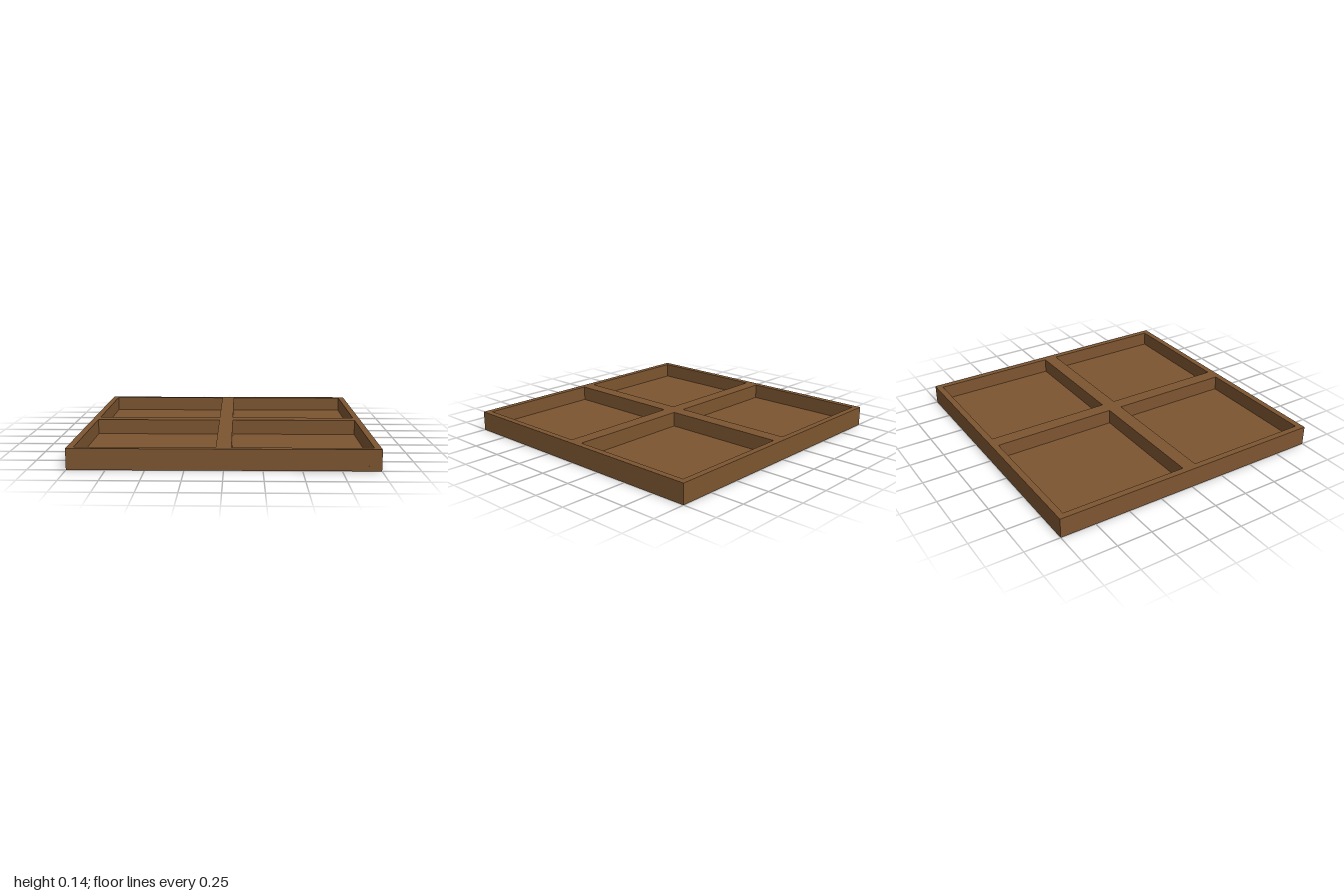
import * as THREE from 'three';

const SIZE = 2, HEIGHT = 0.14, FLOOR = 0.033;
const INNER = 0.05, OUTER = 0.955; // pocket limits measured from the centre

// Rectangle outline between two corners
function trace(path, x0, y0, x1, y1) {
  path.moveTo(x0, y0);
  path.lineTo(x1, y0);
  path.lineTo(x1, y1);
  path.lineTo(x0, y1);
  path.closePath();
  return path;
}

export function createModel() {
  const group = new THREE.Group();
  group.name = 'dividedTray';
  const wood = new THREE.MeshStandardMaterial({ color: 0x7d5530 });

  // Solid bottom board
  const base = new THREE.Mesh(new THREE.BoxGeometry(SIZE, FLOOR, SIZE), wood);
  base.name = 'bottomBoard';
  base.position.y = FLOOR / 2;
  group.add(base);

  // Rim and cross divider: a square with four pockets cut through
  const outline = trace(new THREE.Shape(), -SIZE / 2, -SIZE / 2, SIZE / 2, SIZE / 2);
  for (const sx of [-1, 1]) {
    for (const sz of [-1, 1]) {
      outline.holes.push(trace(new THREE.Path(), sx * INNER, sz * INNER, sx * OUTER, sz * OUTER));
    }
  }
  const frameGeometry = new THREE.ExtrudeGeometry(outline, { depth: HEIGHT - FLOOR, bevelEnabled: false });
  frameGeometry.rotateX(-Math.PI / 2);
  const frame = new THREE.Mesh(frameGeometry, wood);
  frame.name = 'rimAndDividers';
  frame.position.y = FLOOR;
  group.add(frame);

  return group;
}
